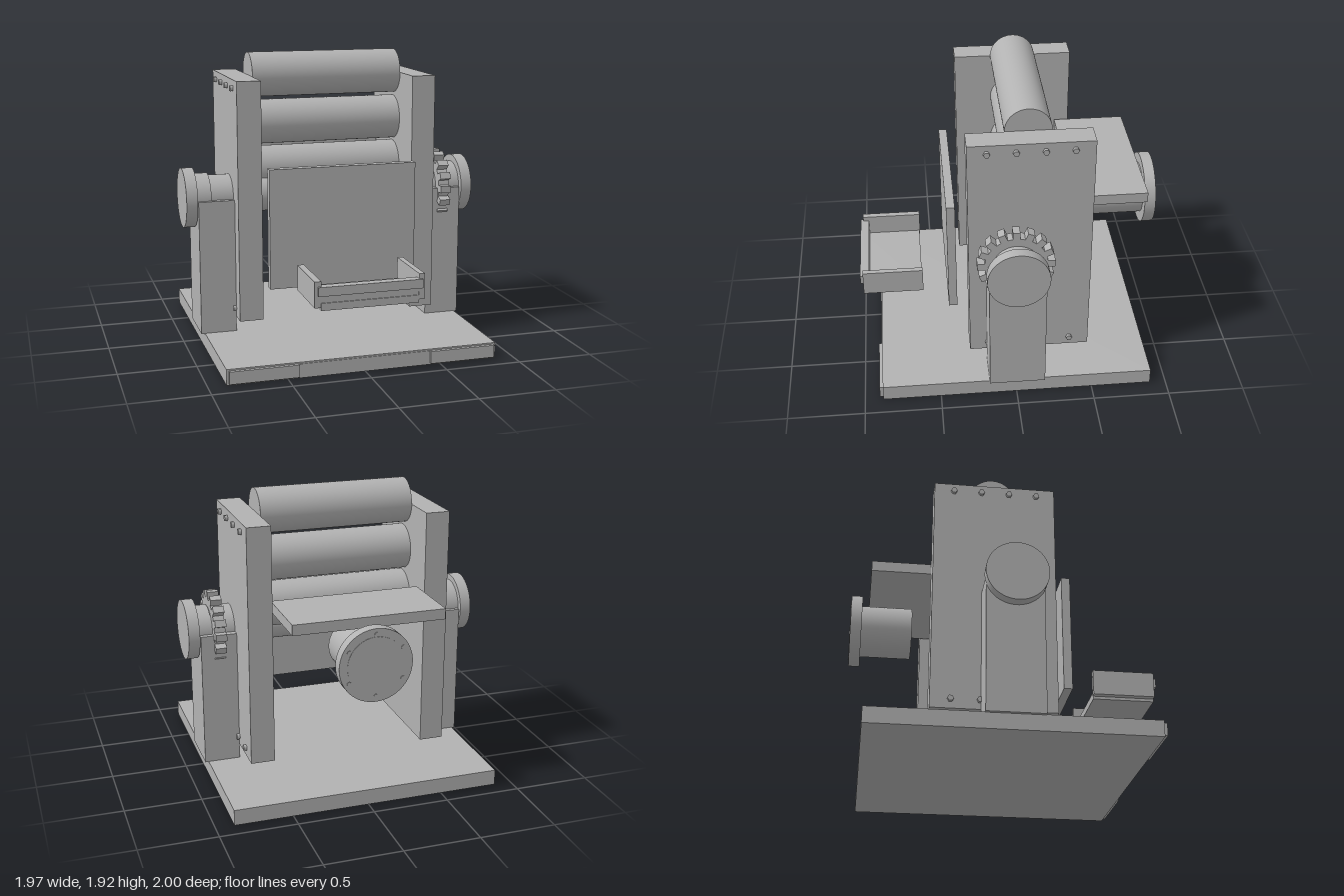
import * as THREE from 'three';

export function createModel() {
  const model = new THREE.Group();
  const steel = new THREE.MeshStandardMaterial({ color: 0xb2b2b2 });
  steel.name = 'plain grey';

  function add(name, geometry, parent = model) {
    const mesh = new THREE.Mesh(geometry, steel);
    mesh.name = name;
    parent.add(mesh);
    return mesh;
  }
  // Box given by its lower and upper limits on each axis
  function box(name, x0, x1, y0, y1, z0, z1) {
    const mesh = add(name, new THREE.BoxGeometry(x1 - x0, y1 - y0, z1 - z0));
    mesh.position.set((x0 + x1) / 2, (y0 + y1) / 2, (z0 + z1) / 2);
    return mesh;
  }
  // Cylinder lying along x
  function barX(name, x0, x1, y, z, r, sides = 64) {
    const mesh = add(name, new THREE.CylinderGeometry(r, r, Math.abs(x1 - x0), sides).rotateZ(Math.PI / 2));
    mesh.position.set((x0 + x1) / 2, y, z);
    return mesh;
  }
  // Cylinder lying along z
  function barZ(name, x, y, z0, z1, r, sides = 64) {
    const mesh = add(name, new THREE.CylinderGeometry(r, r, z1 - z0, sides).rotateX(Math.PI / 2));
    mesh.position.set(x, y, (z0 + z1) / 2);
    return mesh;
  }
  const axleY = 0.99;

  // Base with thin facing strips along the front edge
  box('base', -0.885, 0.88, 0, 0.103, -0.895, 0.88);
  box('baseFacing', -0.44, 0.44, 0.012, 0.093, 0.875, 0.885);
  box('baseFacingRight', -0.87, -0.43, 0.012, 0.093, 0.875, 0.902);
  box('baseFacingLeft', 0.43, 0.865, 0.012, 0.093, 0.875, 0.902);

  // Side plates, axle posts, hex bolts and end discs
  for (const s of [-1, 1]) {
    const side = s > 0 ? 'left' : 'right';
    const span = (a, b) => (s > 0 ? [a - 0.003, b - 0.003] : [-b - 0.003, -a - 0.003]);
    box(side + 'SidePlate', ...span(0.51, 0.668), 0.2, 1.775, -0.497, 0.29);
    box(side + 'Post', ...span(0.668, 0.905), 0.1, axleY, -0.185, 0.178);
    barX(side + 'Axle', ...span(0.66, 0.915), axleY, 0, 0.142);
    barX(side + 'EndDisc', ...span(0.911, 0.985), axleY, 0, 0.196);
    for (let i = 0; i < 4; i++) {
      for (const y of [0.26, 1.72]) {
        barX(side + 'Bolt', ...span(0.66, 0.688), y, 0.17 - i * 0.18, 0.02, 6);
      }
    }
  }
  barX('rightCollar', -0.915, -0.818, axleY, 0, 0.157);
  barX('leftCollar', 0.82, 0.91, axleY, 0, 0.15);

  // Sprocket with sixteen square teeth on the left axle
  barX('sprocketWheel', 0.742, 0.815, axleY, 0, 0.2);
  for (let i = 0; i < 16; i++) {
    const a = (i / 16) * Math.PI * 2;
    const tooth = add('sprocketTooth', new THREE.BoxGeometry(0.073, 0.06, 0.046));
    tooth.position.set(0.7785, axleY + Math.cos(a) * 0.215, Math.sin(a) * 0.215);
    tooth.rotation.x = a;
  }

  // Stacked rollers and the drive shaft under them
  for (const y of [1.777, 1.46, 1.147]) {
    barX('roller', -0.513, 0.507, y, -0.1, 0.148);
  }
  barX('driveShaft', -0.513, 0.507, axleY, 0, 0.117);

  // Feed shelf at the back and guard panel at the front
  box('shelf', -0.497, 0.492, 1.193, 1.262, -0.877, -0.4);
  box('guardPanel', -0.495, 0.487, 0.44, 1.225, 0.36, 0.416);

  // Motor with its flange, face plate and bolts
  barZ('motorBody', 0, axleY, -0.925, -0.59, 0.17);
  barZ('motorFlange', 0, axleY, -0.995, -0.922, 0.237);
  barZ('motorFacePlate', 0, axleY, -0.998, -0.99, 0.185);
  for (let i = 0; i < 6; i++) {
    const a = (i / 6) * Math.PI * 2;
    barZ('flangeBolt', Math.sin(a) * 0.2, axleY + Math.cos(a) * 0.2, -1, -0.99, 0.014, 12);
  }

  // Catch tray: floor, two walls and a railed front
  box('trayFloor', -0.317, 0.312, 0.453, 0.5, 0.585, 0.982);
  box('trayWallRight', -0.358, -0.316, 0.472, 0.637, 0.58, 0.98);
  box('trayWallLeft', 0.311, 0.347, 0.472, 0.637, 0.58, 0.98);
  box('trayFront', -0.317, 0.312, 0.5, 0.547, 0.94, 0.975);
  box('trayRail', -0.338, 0.332, 0.547, 0.605, 0.94, 0.998);

  return model;
}
